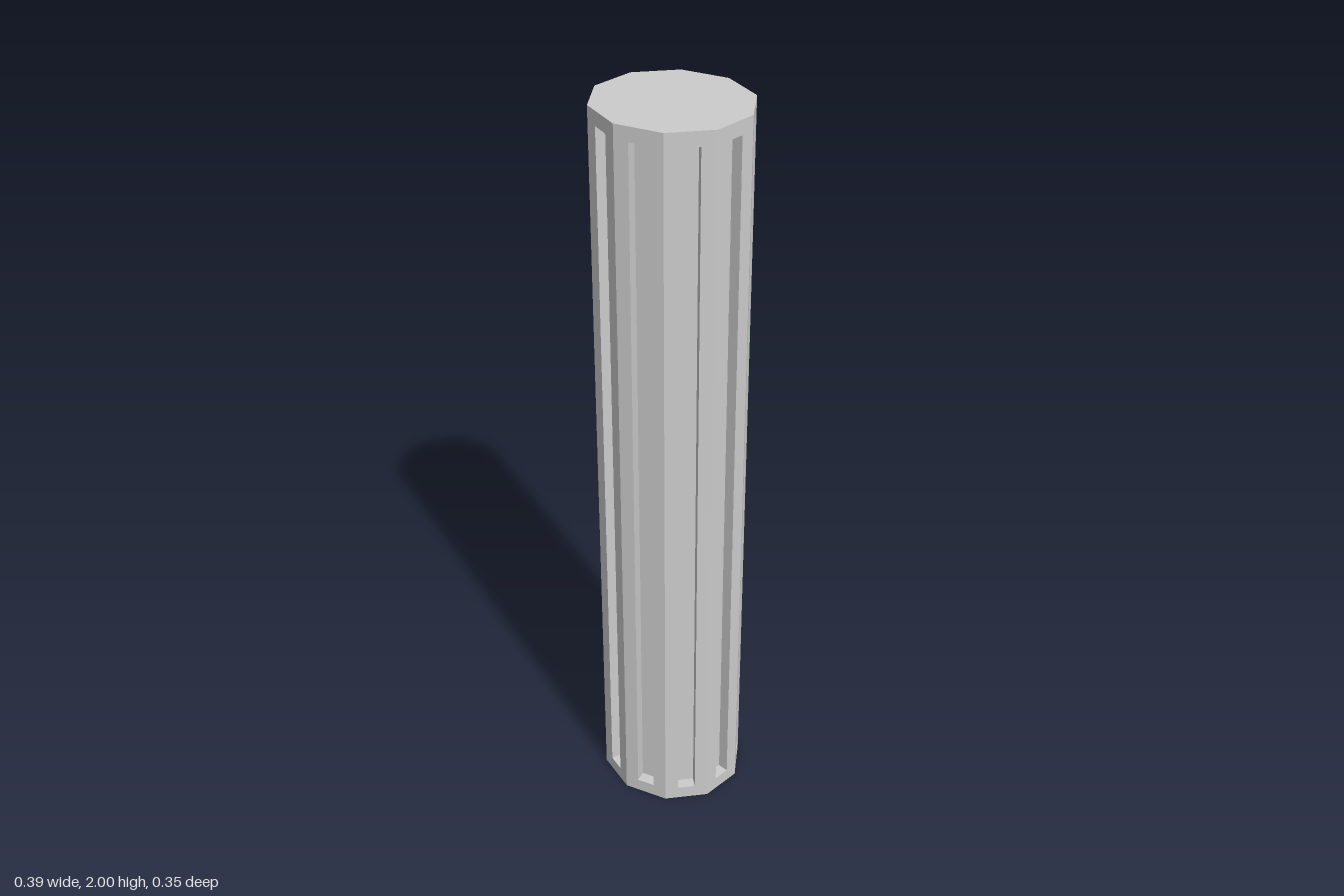
import * as THREE from 'three';

const SIDES = 10, RX = 0.197, RZ = 0.183;
const HEIGHT = 2, END = 0.037;               // plain band at each end of the flutes
const GROOVE = 0.4, DEPTH = 0.03;            // groove share of a side, and its depth

const corner = (i) => {
  const a = (i / SIDES) * Math.PI * 2;
  return new THREE.Vector2(RX * Math.cos(a), RZ * Math.sin(a));
};

// Slightly flattened decagon, optionally notched in the middle of every side
function outline(notched) {
  const points = [];
  for (let i = 0; i < SIDES; i++) {
    const a = corner(i), b = corner(i + 1);
    points.push(a);
    if (!notched) continue;
    const along = b.clone().sub(a);
    const inward = new THREE.Vector2(-along.y, along.x).setLength(DEPTH);
    const p = a.clone().lerp(b, (1 - GROOVE) / 2);
    const q = a.clone().lerp(b, (1 + GROOVE) / 2);
    points.push(p, p.clone().add(inward), q.clone().add(inward), q);
  }
  return new THREE.Shape(points);
}

export function createModel() {
  const column = new THREE.Group();
  column.name = 'column';
  const material = new THREE.MeshStandardMaterial({ color: 0xcccccc, flatShading: true });

  const addSection = (name, notched, y, height) => {
    const geometry = new THREE.ExtrudeGeometry(outline(notched), { depth: height, bevelEnabled: false });
    geometry.rotateX(-Math.PI / 2);
    const mesh = new THREE.Mesh(geometry, material);
    mesh.name = name;
    mesh.position.y = y;
    column.add(mesh);
  };

  // Plain ends close off the grooves of the fluted shaft
  addSection('bottomBand', false, 0, END);
  addSection('flutedShaft', true, END, HEIGHT - 2 * END);
  addSection('topBand', false, HEIGHT - END, END);
  return column;
}
